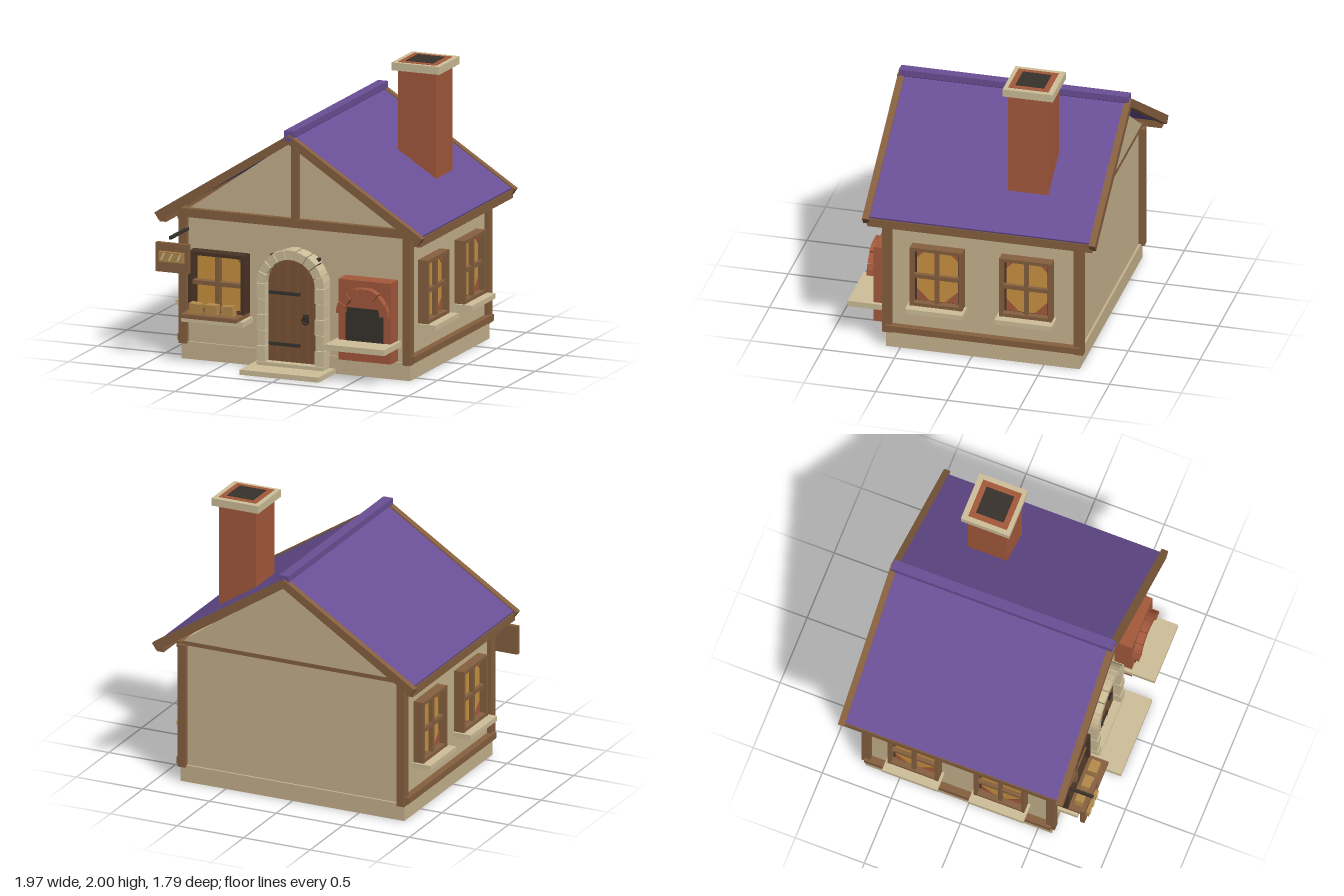
import * as THREE from 'three';

const mat = (name, color) => Object.assign(new THREE.MeshStandardMaterial({ color }), { name });

export function createModel() {
  const plaster = mat('plaster', 0xc8b48f), stone = mat('stone', 0xcfbf9a), wood = mat('wood', 0x86603f);
  const doorWood = mat('doorWood', 0x7c5436), darkWood = mat('darkWood', 0x4a3426), purple = mat('roofPurple', 0x6a5096);
  const brick = mat('brick', 0xa55a3c), iron = mat('iron', 0x38322b), glass = mat('amberGlass', 0xca9340);
  const bread = mat('bread', 0xb58a4b);

  const house = new THREE.Group();
  house.name = 'cottage';
  const put = (name, geo, m, parent = house) => {
    const mesh = new THREE.Mesh(geo, m);
    mesh.name = name;
    parent.add(mesh);
    return mesh;
  };
  // box given by its two extents on each axis
  const box = (name, m, x0, x1, y0, y1, z0, z1, parent = house) => {
    const mesh = put(name, new THREE.BoxGeometry(x1 - x0, y1 - y0, z1 - z0), m, parent);
    mesh.position.set((x0 + x1) / 2, (y0 + y1) / 2, (z0 + z1) / 2);
    return mesh;
  };
  // flat outline in x, y pushed from z0 to z1
  const slab = (name, m, pts, z0, z1, parent = house) => {
    const shape = new THREE.Shape(pts.map(p => new THREE.Vector2(p[0], p[1])));
    const geo = new THREE.ExtrudeGeometry(shape, { depth: z1 - z0, bevelEnabled: false });
    geo.translate(0, 0, z0);
    return put(name, geo, m, parent);
  };
  // ring of wedge blocks over an opening
  const arch = (name, m, cx, cy, rIn, rOut, count, z0, z1, stagger) => {
    const step = Math.PI / count, gap = 0.015;
    for (let i = 0; i < count; i++) {
      const a = i * step + gap, b = (i + 1) * step - gap, c = (a + b) / 2;
      const at = (r, t) => [cx + r * Math.cos(t), cy + r * Math.sin(t)];
      const out = rOut - (i % 2) * stagger;
      slab(name, m, [at(rIn, a), at(out, a), at(out, c), at(out, b), at(rIn, b), at(rIn, c)], z0, z1);
    }
  };

  // foundation, walls and gables
  box('foundation', plaster, -0.84, 0.84, 0, 0.12, -0.75, 0.6);
  box('walls', plaster, -0.82, 0.82, 0.12, 1.02, -0.735, 0.585);
  const gable = [[-0.82, 1.02], [0.82, 1.02], [0, 1.605]];
  slab('frontGable', plaster, gable, 0.545, 0.59);
  slab('backGable', plaster, gable, -0.75, -0.7);

  // timber frame
  box('tieBeam', wood, -0.85, 0.85, 0.99, 1.05, 0.56, 0.63);
  box('backTieBeam', wood, -0.82, 0.82, 0.99, 1.019, -0.75, -0.7);
  box('kingPost', wood, -0.025, 0.025, 1.05, 1.605, 0.58, 0.625);
  for (const s of [-1, 1]) {
    const side = (name, m, a, b, ...r) => box(name, m, Math.min(s * a, s * b), Math.max(s * a, s * b), ...r);
    side('frontPost', wood, 0.795, 0.85, 0.11, 0.995, 0.56, 0.625);
    side('backPost', wood, 0.795, 0.85, 0.11, 0.995, -0.775, -0.71);
    side('sillBeam', wood, 0.81, 0.87, 0.125, 0.17, -0.75, 0.6);
    side('wallPlate', wood, 0.81, 0.87, 0.965, 1.01, -0.75, 0.6);
    side('eaveBoard', wood, 0.91, 0.96, 0.96, 1.02, -0.865, 0.7);
  }

  // roof with ridge cap and rake boards
  const roofY = x => 1.645 - 0.64 * x;
  slab('roof', purple, [[0, roofY(0)], [-0.957, roofY(0.957)], [-0.945, 0.99], [0, roofY(0) - 0.05], [0.945, 0.99],
    [0.957, roofY(0.957)]], -0.87, 0.7);
  box('ridgeCap', purple, -0.035, 0.035, 1.635, 1.68, -0.88, 0.72);
  slab('ridgeKeel', purple, [[-0.035, 1.635], [0, 1.605], [0.035, 1.635]], -0.88, 0.735);
  for (const [z0, z1] of [[0.683, 0.73], [-0.893, -0.848]]) {
    slab('rakeBoards', wood, [[0, 1.655], [-0.985, 1.025], [-0.95, 0.975], [0, 1.59], [0.95, 0.975], [0.985, 1.025]], z0, z1);
  }

  // chimney with stone cap and flue
  box('chimney', brick, 0.4, 0.68, 1.1, 1.945, -0.49, -0.21);
  box('chimneyCap', stone, 0.365, 0.715, 1.94, 1.994, -0.53, -0.18);
  box('chimneyRim', brick, 0.4, 0.68, 1.99, 1.997, -0.49, -0.21);
  box('flue', iron, 0.44, 0.64, 1.99, 2, -0.45, -0.25);

  // window facing +z, wall plane at z = 0
  const windowUnit = (name, w, h, depth, frameMat, corners) => {
    const g = new THREE.Group();
    g.name = name;
    house.add(g);
    const x = w / 2, y = h / 2, t = 0.024, i = 0.04;
    box('reveal', darkWood, -x + 0.01, x - 0.01, -y + 0.01, y - 0.01, 0, 0.025, g);
    box('pane', glass, -x + i, x - i, -y + i - 0.01, y - i + 0.01, 0.02, 0.03, g);
    for (const s of [-1, 1]) {
      box('jamb', frameMat, s * (x - t / 2) - t / 2, s * (x - t / 2) + t / 2, -y, y, 0, depth, g);
      box('rail', frameMat, -x, x, s * (y - t / 2) - t / 2, s * (y - t / 2) + t / 2, 0, depth - 0.002, g);
    }
    box('mullion', wood, -0.014, 0.014, -y + t, y - t, 0.02, depth - 0.015, g);
    box('transom', wood, -x + t, x - t, -0.014, 0.014, 0.02, depth - 0.017, g);
    // tied-back curtains in the pane corners
    for (const [sx, sy, k] of corners) {
      const cx = sx * (x - i), cy = sy * (y - i + 0.01);
      slab('curtain', brick, [[cx, cy], [cx - sx * k, cy], [cx, cy - sy * k]], 0.03, 0.034, g);
    }
    return g;
  };
  const tied = [[-1, -1, 0.09], [1, -1, 0.09], [1, 1, 0.06], [-1, 1, 0.06]];
  for (const s of [-1, 1]) {
    for (const z of [0.238, -0.385]) {
      const win = windowUnit('sideWindow', 0.365, 0.44, 0.075, wood, tied);
      win.position.set(s * 0.82, 0.58, z);
      win.rotation.y = s * Math.PI / 2;
      box('sideSill', stone, s * 0.885 - 0.07, s * 0.885 + 0.07, 0.325, 0.36, z - 0.2, z + 0.2);
    }
  }

  // shop window with counter and loaves
  windowUnit('shopWindow', 0.41, 0.43, 0.1, darkWood, [[1, 1, 0.05]]).position.set(-0.55, 0.555, 0.585);
  box('shopSill', stone, -0.775, -0.32, 0.295, 0.332, 0.58, 0.76);
  box('counter', wood, -0.755, -0.345, 0.335, 0.362, 0.58, 0.818);
  [-0.67, -0.55, -0.43].forEach((x, i) => {
    const loaf = box('loaf', bread, x - 0.042, x + 0.042, 0.362, 0.432, 0.715, 0.78);
    loaf.rotation.z = (i - 1) * 0.08;
  });

  // arched plank door
  box('doorRecess', iron, -0.18, 0.18, 0.06, 0.79, 0.58, 0.625);
  for (let i = 0; i < 5; i++) {
    const a = -0.183 + i * 0.0735, b = a + 0.0685, pts = [[a, 0.06], [b, 0.06]];
    for (let k = 0; k <= 4; k++) {
      const x = b + (a - b) * k / 4;
      pts.push([x, 0.6 + Math.sqrt(Math.max(0, 0.187 ** 2 - x * x))]);
    }
    slab('doorPlank', doorWood, pts, 0.61, 0.645);
  }
  for (const y of [0.18, 0.535]) {
    box('hingeStrap', iron, -0.175, 0.055, y - 0.011, y + 0.011, 0.64, 0.657);
    for (const x of [-0.14, -0.05, 0.03]) box('hingeStud', iron, x - 0.007, x + 0.007, y - 0.007, y + 0.007, 0.65, 0.663);
  }
  box('latchPlate', iron, 0.075, 0.115, 0.345, 0.4, 0.64, 0.652);
  put('ringHandle', new THREE.TorusGeometry(0.024, 0.006, 6, 16), iron).position.set(0.095, 0.36, 0.66);

  // stone surround and steps
  for (let i = 0; i < 5; i++) {
    const y = 0.06 + i * 0.108, inset = (i % 2) * 0.006;
    for (const s of [-1, 1]) {
      box('jambStone', stone, s * 0.214 - 0.032 + inset / 2, s * 0.214 + 0.032 - inset / 2, y + 0.002, y + 0.106, 0.58, 0.7 - inset);
    }
  }
  arch('archStone', stone, 0, 0.6, 0.182, 0.248, 9, 0.58, 0.7, 0.004);
  box('threshold', stone, -0.245, 0.245, 0, 0.06, 0.58, 0.705);
  box('frontStep', stone, -0.29, 0.29, 0, 0.035, 0.59, 0.885);

  // brick oven
  box('oven', brick, 0.36, 0.745, 0.13, 0.69, 0.58, 0.71);
  box('ovenMouth', iron, 0.415, 0.69, 0.27, 0.5, 0.706, 0.715);
  arch('ovenArchBrick', brick, 0.552, 0.462, 0.13, 0.19, 7, 0.7, 0.76, 0.006);
  box('ovenShelf', stone, 0.335, 0.772, 0.23, 0.27, 0.59, 0.885);

  // hanging sign with a scored loaf
  box('signRod', iron, -0.81, -0.79, 0.89, 0.91, 0.58, 0.885);
  box('signBoard', wood, -0.915, -0.675, 0.655, 0.857, 0.833, 0.865);
  box('signLoaf', bread, -0.885, -0.705, 0.73, 0.8, 0.86, 0.885);
  for (const x of [-0.855, -0.795, -0.735]) {
    slab('loafScore', stone, [[x - 0.018, 0.742], [x - 0.004, 0.742], [x + 0.018, 0.79], [x + 0.004, 0.79]], 0.884, 0.892);
  }
  return house;
}
